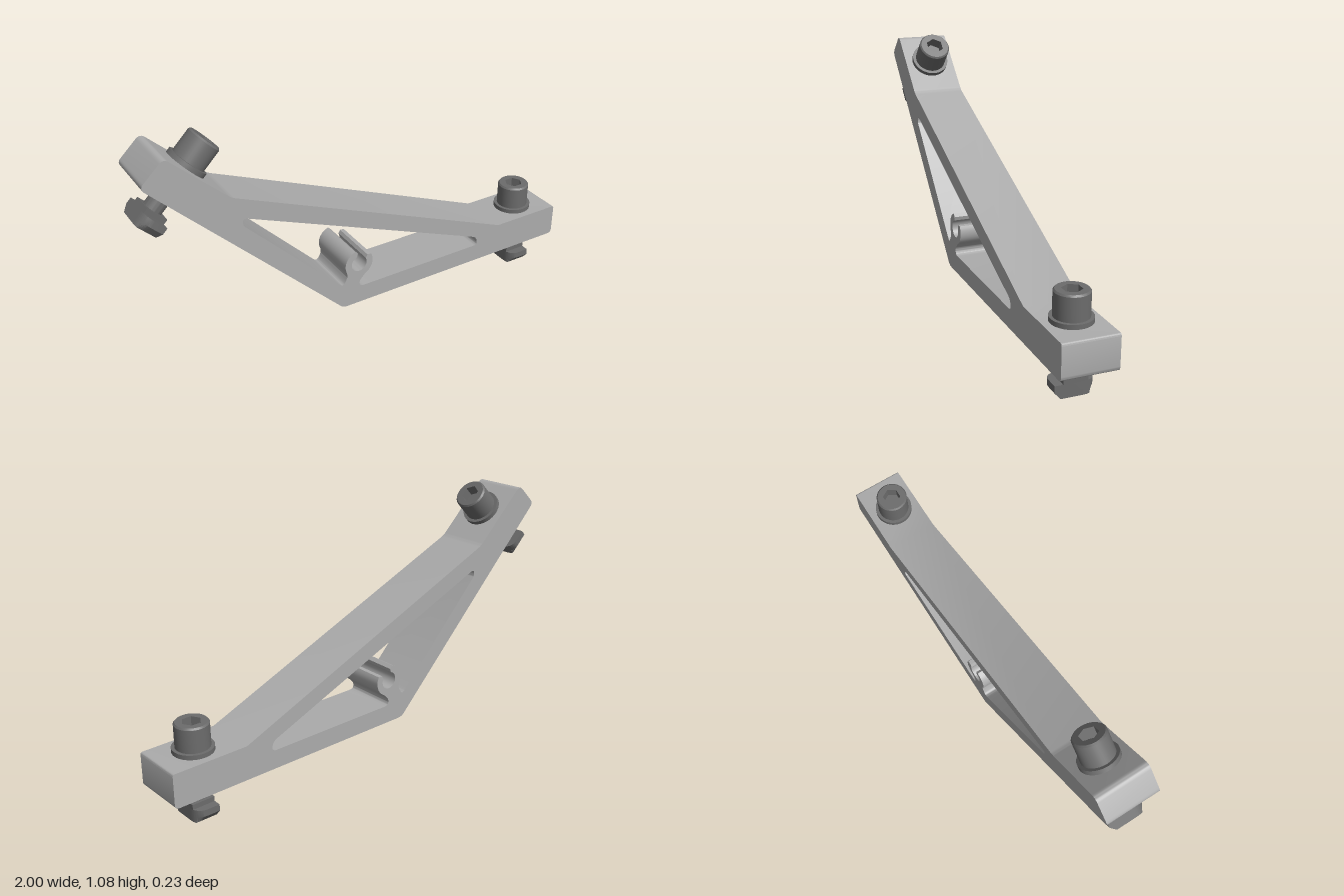
import * as THREE from 'three';
import { toCreasedNormals } from 'three/addons/utils/BufferGeometryUtils.js';

const bracketGrey = new THREE.MeshStandardMaterial({ color: 0xababab });
bracketGrey.name = 'bracket grey';
const steelGrey = new THREE.MeshStandardMaterial({ color: 0x6c6c6c });
steelGrey.name = 'steel grey';

// Closed path through [x, y, r] points; r is the distance trimmed at a rounded corner
function roundedPath(points, Type = THREE.Shape) {
  const path = new Type();
  const n = points.length;
  points.forEach(([x, y, r = 0], i) => {
    const p = new THREE.Vector2(x, y);
    const toward = ([qx, qy]) => {
      const d = new THREE.Vector2(qx, qy).sub(p);
      return p.clone().addScaledVector(d.clone().normalize(), Math.min(r, d.length() / 2));
    };
    const a = toward(points[(i + n - 1) % n]);
    const b = toward(points[(i + 1) % n]);
    if (i === 0) path.moveTo(a.x, a.y);
    else path.lineTo(a.x, a.y);
    if (r > 0) path.quadraticCurveTo(x, y, b.x, b.y);
  });
  path.closePath();
  return path;
}

function part(name, geometry, material, crease = 0.6) {
  const mesh = new THREE.Mesh(toCreasedNormals(geometry, crease), material);
  mesh.name = name;
  return mesh;
}

// Points on a circle around the clip centre, angles in degrees
function clipArc(radius, from, to, steps) {
  const out = [];
  for (let i = 0; i <= steps; i++) {
    const a = THREE.MathUtils.degToRad(from + (to - from) * i / steps);
    out.push([-0.086 + radius * Math.cos(a), 0.332 + radius * Math.sin(a)]);
  }
  return out;
}

// Bent arm with a triangular opening and a cable clip inside it
function makeBracket() {
  const shape = roundedPath([
    [-0.166, 0.133, 0.02], [0.995, 0.133, 0.02], [0.995, 0.28, 0.01], [0.663, 0.28],
    [-0.642, 0.823, 0.02], [-0.888, 1.056, 0.025], [-0.988, 0.961, 0.025],
  ]);
  const R = 0.067, r = 0.037, mid = (R + r) / 2;
  shape.holes.push(roundedPath([
    [-0.603, 0.722, 0.025], [0.537, 0.257, 0.02], [0.547, 0.214, 0.025],
    [-0.083, 0.214, 0.025], [-0.085, 0.243, 0.012],
    ...clipArc(R, -65, 28, 10),
    ...clipArc(mid, 38, 38, 1).slice(1),
    ...clipArc(r, 28, -253, 24),
    ...clipArc(mid, 97, 97, 1).slice(1),
    ...clipArc(R, 107, 205, 10),
    [-0.143, 0.283, 0.012], [-0.165, 0.243, 0.025], [-0.187, 0.262, 0.01],
    [-0.603, 0.688, 0.01],
  ], THREE.Path));
  const geo = new THREE.ExtrudeGeometry(shape, { depth: 0.23, bevelEnabled: false, curveSegments: 6 });
  geo.translate(0, 0, -0.115);
  return part('bracketArm', geo, bracketGrey);
}

// Extrude a plan shape upward from height y
function extrudeUp(shape, y, depth, steps = 1) {
  const geo = new THREE.ExtrudeGeometry(shape, { depth, steps, bevelEnabled: false, curveSegments: 20 });
  return geo.rotateX(-Math.PI / 2).translate(0, y, 0);
}

// Cap screw with washer and slot nut, standing on the nut's underside
function makeScrew(name) {
  const screw = new THREE.Group();
  screw.name = name;
  const add = (label, geo) => screw.add(part(label, geo, steelGrey));
  const cylinder = (rad, y0, y1) =>
    new THREE.CylinderGeometry(rad, rad, y1 - y0, 40).translate(0, (y0 + y1) / 2, 0);

  // Head: chamfered shell, rim with a hexagonal socket, socket floor
  const profile = [[0, 0.298], [0.07, 0.298], [0.07, 0.396], [0.064, 0.403]];
  add('screwHead', new THREE.LatheGeometry(profile.map(p => new THREE.Vector2(...p)), 40));
  const rim = new THREE.Shape().absarc(0, 0, 0.064, 0, Math.PI * 2);
  const hexagon = [];
  for (let i = 0; i < 6; i++) {
    hexagon.push([0.04 * Math.cos(i * Math.PI / 3), 0.04 * Math.sin(i * Math.PI / 3)]);
  }
  rim.holes.push(roundedPath(hexagon, THREE.Path));
  add('headRim', extrudeUp(rim, 0.353, 0.05));
  add('socketFloor', new THREE.CircleGeometry(0.05, 24).rotateX(-Math.PI / 2).translate(0, 0.354, 0));

  add('washer', cylinder(0.084, 0.279, 0.299));
  add('shank', cylinder(0.04, 0.056, 0.29));
  add('shankEnd', cylinder(0.034, 0.025, 0.06));

  // Slot nut: two opposite corners rounded, ends chamfered underneath
  const plan = roundedPath([
    [-0.05, -0.084, 0.055], [0.05, -0.084], [0.05, 0.084, 0.055], [-0.05, 0.084],
  ]);
  plan.holes.push(new THREE.Path().absarc(0, 0, 0.033, 0, Math.PI * 2));
  const nut = extrudeUp(plan, 0, 0.056, 2);
  const pos = nut.attributes.position;
  for (let i = 0; i < pos.count; i++) {
    if (pos.getY(i) < 0.01) pos.setZ(i, THREE.MathUtils.clamp(pos.getZ(i), -0.06, 0.06));
  }
  add('slotNut', nut);
  add('nutCollar', new THREE.BoxGeometry(0.1, 0.022, 0.1).translate(0, 0.066, 0));
  return screw;
}

export function createModel() {
  const model = new THREE.Group();
  model.name = 'angleBracket';
  model.add(makeBracket());

  const lowerScrew = makeScrew('lowerScrew');
  lowerScrew.position.set(0.832, 0, 0);
  const upperScrew = makeScrew('upperScrew');
  upperScrew.position.set(-0.966, 0.749, 0);
  upperScrew.rotation.z = -Math.PI / 4;
  model.add(lowerScrew, upperScrew);
  return model;
}
